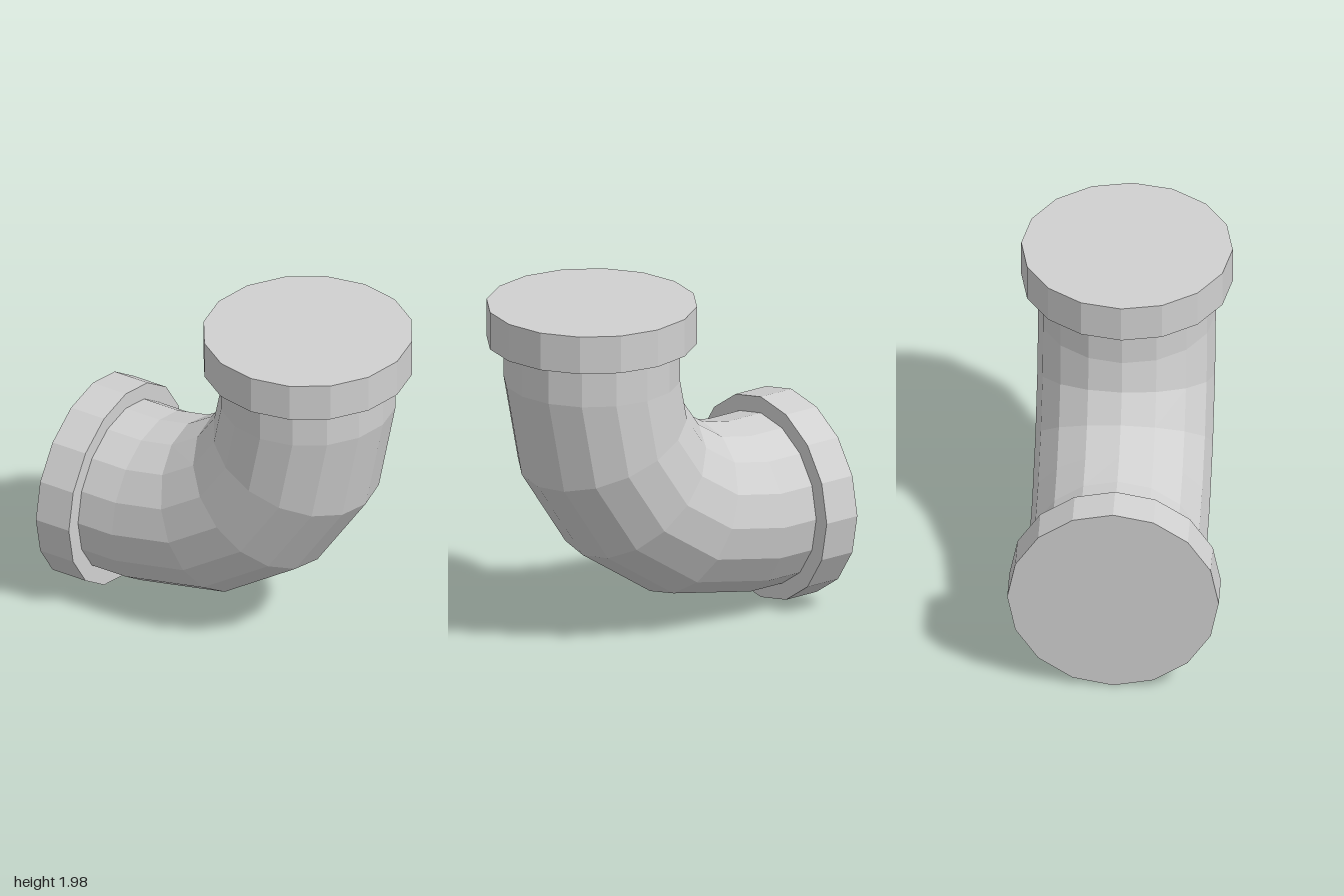
import * as THREE from 'three';

const SIDES = 16, PIPE_R = 0.493, FLANGE_R = 0.587, FLANGE_T = 0.217;
const BEND = { x: -0.561, y: 1.54, rx: 0.975, ry: 0.953 }; // bend centre and radii
const AXIS_X = BEND.x + BEND.rx, AXIS_Y = BEND.y - BEND.ry; // the two pipe axes
const TOP = 1.984;

// Elbow: rings swept from the side flange, round the bend, up to the top flange
function elbowGeometry() {
  const stations = [{ t: 0, dx: -1 + FLANGE_T - BEND.x, dy: 0 }];
  for (let i = 0; i <= 4; i++) stations.push({ t: (i / 4) * Math.PI / 2, dx: 0, dy: 0 });
  stations.push({ t: Math.PI / 2, dx: 0, dy: TOP - FLANGE_T - BEND.y });

  const pos = [], index = [];
  stations.forEach(({ t, dx, dy }, s) => {
    for (let j = 0; j < SIDES; j++) {
      const a = (j / SIDES) * Math.PI * 2, out = PIPE_R * Math.cos(a);
      pos.push(
        BEND.x + dx + (BEND.rx + out) * Math.sin(t),
        BEND.y + dy - (BEND.ry + out) * Math.cos(t),
        PIPE_R * Math.sin(a));
      if (s === 0) continue;
      const k = (j + 1) % SIDES, p = (s - 1) * SIDES, q = s * SIDES;
      index.push(p + j, q + j, p + k, q + j, q + k, p + k);
    }
  });
  const g = new THREE.BufferGeometry();
  g.setAttribute('position', new THREE.Float32BufferAttribute(pos, 3));
  g.setIndex(index);
  const flat = g.toNonIndexed();
  flat.computeVertexNormals();
  return flat;
}

export function createModel() {
  const group = new THREE.Group();
  const grey = new THREE.MeshStandardMaterial({ color: 0xd0d0d0 });
  grey.name = 'pipe grey';
  grey.flatShading = true;
  grey.side = THREE.DoubleSide;

  const add = (name, geometry) => {
    const mesh = new THREE.Mesh(geometry, grey);
    mesh.name = name;
    group.add(mesh);
    return mesh;
  };

  add('elbowPipe', elbowGeometry());

  // Closed flanges, with a corner on each main axis
  const disc = () => new THREE.CylinderGeometry(FLANGE_R, FLANGE_R, FLANGE_T, SIDES);
  add('topFlange', disc()).position.set(AXIS_X, TOP - FLANGE_T / 2, 0);
  const side = add('sideFlange', disc());
  side.rotation.z = Math.PI / 2;
  side.position.set(-1 + FLANGE_T / 2, AXIS_Y, 0);

  return group;
}
